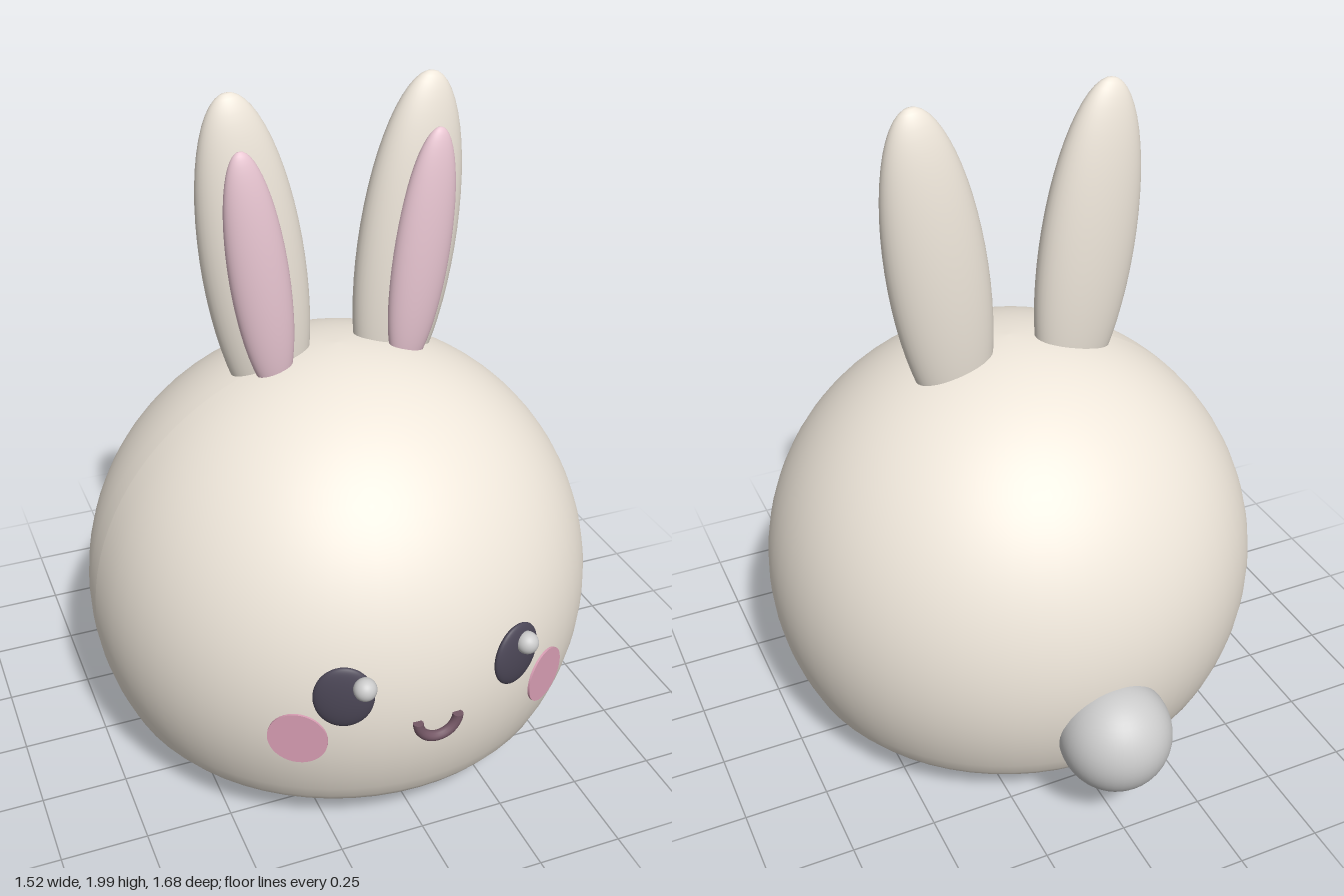
import * as THREE from 'three';

const mat = (color) => new THREE.MeshStandardMaterial({ color });
const cream = mat(0xeee6da), pink = mat(0xe9c6d2), rose = mat(0xdba0b6);
const dark = mat(0x4c4757), plum = mat(0x755866), grey = mat(0xcccccc);

const BODY = { r: 0.76, y: 0.49, z: 0.07, depth: 0.98 };

// Depth of the body's front surface at a given x, y
const frontZ = (x, y) =>
  BODY.z + BODY.depth * Math.sqrt(BODY.r ** 2 - x ** 2 - (y - BODY.y) ** 2);

export function createModel() {
  const group = new THREE.Group();

  const add = (name, geometry, material, x, y, z) => {
    const mesh = new THREE.Mesh(geometry, material);
    mesh.name = name;
    mesh.position.set(x, y, z);
    group.add(mesh);
    return mesh;
  };
  const ellipsoid = (name, material, pos, radii) => {
    const mesh = add(name, new THREE.SphereGeometry(1, 40, 28), material, ...pos);
    mesh.scale.set(...radii);
    return mesh;
  };

  // Body: a sphere whose underside is squashed into a shallow bowl
  const bodyGeo = new THREE.SphereGeometry(BODY.r, 64, 48);
  const p = bodyGeo.attributes.position;
  const cut = -0.36;
  for (let i = 0; i < p.count; i++) {
    const y = p.getY(i);
    if (y < cut) p.setY(i, cut + (y - cut) * 0.31);
  }
  bodyGeo.scale(1, 1, BODY.depth);
  bodyGeo.computeVertexNormals();
  add('body', bodyGeo, cream, 0, BODY.y, BODY.z);

  // Round tail
  ellipsoid('tail', grey, [0, 0.318, -0.672], [0.165, 0.165, 0.165]);

  for (const [side, s] of [['left', 1], ['right', -1]]) {
    // Ears, leaning outwards
    const tilt = -s * 0.13;
    ellipsoid(side + 'Ear', cream, [s * 0.229, 1.5, 0.027], [0.148, 0.503, 0.088]).rotation.z = tilt;
    ellipsoid(side + 'InnerEar', pink, [s * 0.24, 1.5, 0.105], [0.085, 0.367, 0.05]).rotation.z = tilt;

    // Eyes, lying on the curve of the face
    const eye = ellipsoid(side + 'Eye', dark, [s * 0.255, 0.572, frontZ(0.255, 0.572)], [0.083, 0.097, 0.022]);
    eye.rotation.y = s * 0.36;

    // Cheeks: thin flat discs
    const cheekGeo = new THREE.CylinderGeometry(1, 1, 0.006, 40).rotateX(Math.PI / 2);
    const cheek = add(side + 'Cheek', cheekGeo, rose, s * 0.373, 0.438, frontZ(0.373, 0.438) + 0.013);
    cheek.scale.set(0.083, 0.081, 1);
    cheek.rotation.y = s * 0.53;
  }

  // Eye highlights, both shifted towards the model's left
  ellipsoid('leftEyeHighlight', grey, [0.277, 0.616, 0.786], [0.032, 0.032, 0.032]);
  ellipsoid('rightEyeHighlight', grey, [-0.211, 0.616, 0.808], [0.032, 0.032, 0.032]);

  // Smiling mouth: half ring with closed ends
  const mouth = add('mouth', new THREE.TorusGeometry(0.059, 0.015, 12, 28, Math.PI), plum, 0, 0.463, 0.819);
  mouth.rotation.z = Math.PI;
  for (const s of [-1, 1]) {
    const cap = add('mouthEnd', new THREE.CircleGeometry(0.015, 12), plum, s * 0.059, 0.463, 0.819);
    cap.rotation.x = -Math.PI / 2;
  }

  return group;
}
